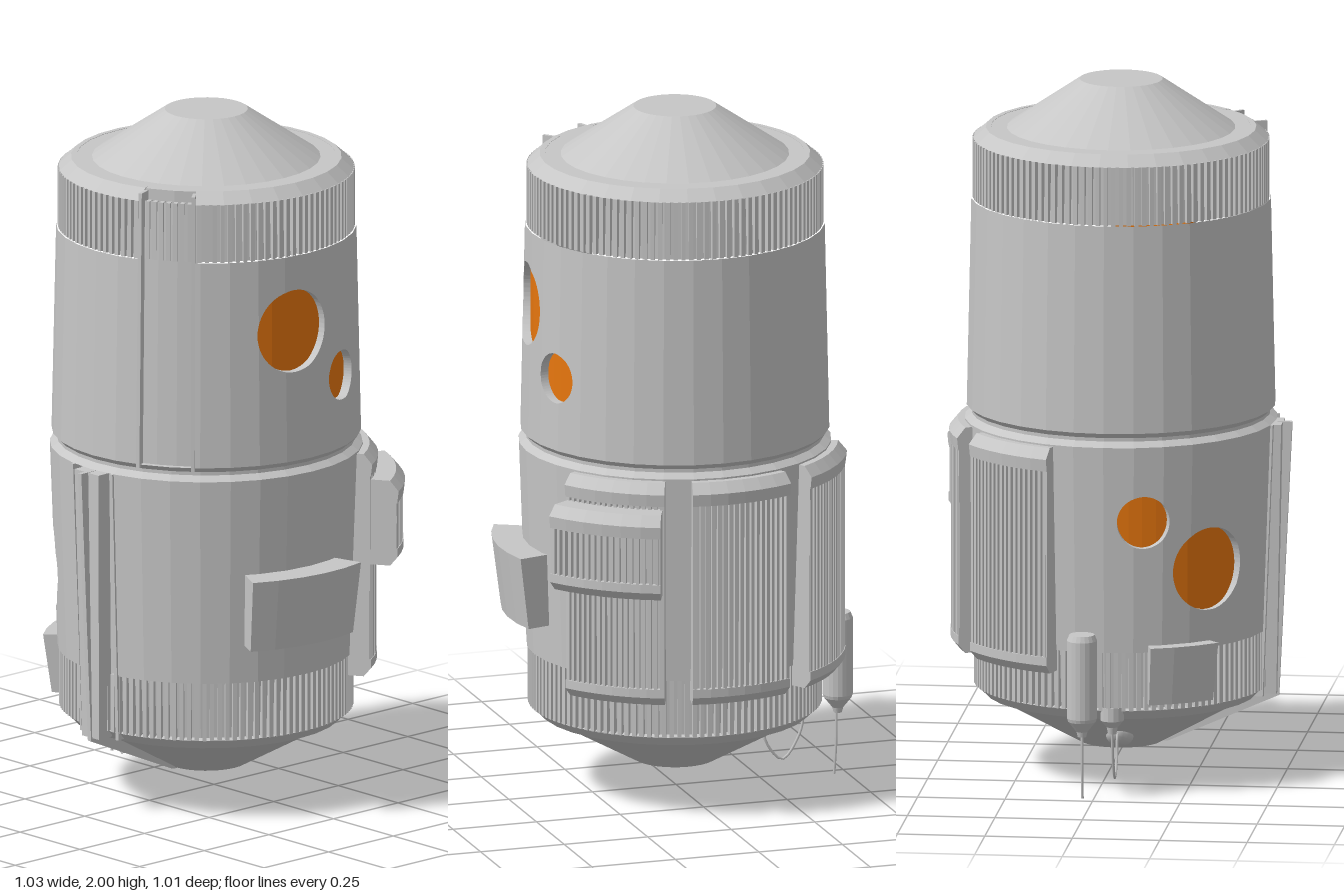
import * as THREE from 'three';
import { mergeGeometries } from 'three/addons/utils/BufferGeometryUtils.js';

const grey = new THREE.MeshStandardMaterial({ color: 0xc6c6c6 });
grey.name = 'hull grey';
const orange = new THREE.MeshStandardMaterial({ color: 0xea780f });
orange.name = 'window orange';

const SIDES = 32, STEP = (Math.PI * 2) / SIDES;
const rad = THREE.MathUtils.degToRad, lerp = THREE.MathUtils.lerp;

export function createModel() {
  const model = new THREE.Group();
  model.name = 'capsule';
  // angles run from the front (+z) towards the model's left (+x)
  model.position.set(-0.005, 0, 0.025);

  function add(name, geometry, material = grey) {
    const mesh = new THREE.Mesh(geometry, material);
    mesh.name = name;
    model.add(mesh);
    return mesh;
  }
  function flat(geometry) {
    const g = geometry.index ? geometry.toNonIndexed() : geometry;
    g.computeVertexNormals();
    return g;
  }
  const vectors = (pts) => pts.map(([x, y]) => new THREE.Vector2(x, y));
  const lathe = (pts, sides = SIDES) => flat(new THREE.LatheGeometry(vectors(pts), sides));

  // sweeps a closed [radius, y] profile around the axis between two angles
  function sweep(from, to, profile, steps = 8) {
    const a0 = rad(from), a1 = rad(to);
    const g = new THREE.ExtrudeGeometry(new THREE.Shape(vectors(profile)),
      { depth: a1 - a0, steps, bevelEnabled: false });
    const p = g.attributes.position;
    for (let i = 0; i < p.count; i++) {
      const r = p.getX(i), a = a1 - p.getZ(i);
      p.setXYZ(i, r * Math.sin(a), p.getY(i), r * Math.cos(a));
    }
    return flat(g);
  }

  // faceted wall with round holes {a, y, r} and full-height slots {a, w}
  function wall(y0, y1, r0, r1, holes, depth = 0.025) {
    const R = (r0 + r1) / 2, out = [];
    const cuts = [];
    for (let i = 0; i <= SIDES; i++) cuts.push(-Math.PI + i * STEP);
    for (const h of holes) {
      h.w ??= h.r / R;
      for (let i = 0; i <= 28; i++) cuts.push(h.a - h.w * Math.cos((Math.PI * i) / 28));
    }
    cuts.sort((a, b) => a - b);
    const point = (a, y, inset = 0) => {
      const off = (((a % STEP) + STEP) % STEP) - STEP / 2;
      const r = lerp(r0, r1, (y - y0) / (y1 - y0)) * Math.cos(STEP / 2) / Math.cos(off) - inset;
      return [r * Math.sin(a), y, r * Math.cos(a)];
    };
    const quad = (a, b, c, d) => out.push(...a, ...b, ...c, ...a, ...c, ...d);
    const span = (h, a) => {
      if (!h.r) return [y0, y1];
      const t = Math.sqrt(Math.max(0, h.r ** 2 - ((a - h.a) * R) ** 2));
      return [h.y - t, h.y + t];
    };
    for (let i = 0; i < cuts.length - 1; i++) {
      const a = cuts[i], b = cuts[i + 1];
      if (b - a < 1e-6) continue;
      const h = holes.find((o) => Math.abs((a + b) / 2 - o.a) < o.w);
      if (!h) {
        quad(point(a, y0), point(b, y0), point(b, y1), point(a, y1));
      } else if (h.r) {
        const [la, ha] = span(h, a), [lb, hb] = span(h, b);
        quad(point(a, y0), point(b, y0), point(b, lb), point(a, la));
        quad(point(a, ha), point(b, hb), point(b, y1), point(a, y1));
        quad(point(a, la), point(b, lb), point(b, lb, depth), point(a, la, depth));
        quad(point(a, ha, depth), point(b, hb, depth), point(b, hb), point(a, ha));
      }
    }
    for (const h of holes.filter((o) => !o.r)) {
      const l = h.a - h.w, r = h.a + h.w;
      quad(point(l, y0), point(l, y0, depth), point(l, y1, depth), point(l, y1));
      quad(point(r, y0, depth), point(r, y0), point(r, y1), point(r, y1, depth));
    }
    const g = new THREE.BufferGeometry();
    g.setAttribute('position', new THREE.Float32BufferAttribute(out, 3));
    g.computeVertexNormals();
    return g;
  }

  // row of upright ribs between two angles
  function ribs(from, to, count, y0, y1, radius, width) {
    const list = [];
    for (let i = 0; i < count; i++) {
      const a = rad(lerp(from, to, (i + 0.5) / count));
      const g = new THREE.BoxGeometry(width, y1 - y0, 0.02);
      g.translate(0, (y0 + y1) / 2, radius - 0.01);
      list.push(g.rotateY(a));
    }
    return mergeGeometries(list);
  }

  // hull ends and middle seam
  add('lowerCone', lathe([[0, 0.08], [0.118, 0.08], [0.36, 0.215], [0.385, 0.22], [0.415, 0.25], [0.4, 0.255]]));
  add('middleSeam', lathe([[0.41, 1.02], [0.445, 1.02], [0.425, 1.035], [0.425, 1.045], [0.44, 1.06], [0.41, 1.06]]));
  add('upperCone', lathe([[0.385, 1.66], [0.385, 1.86], [0.325, 1.86], [0.118, 2], [0, 2]]));
  add('upperRim', sweep(43, 380.5, [[0.37, 1.825], [0.42, 1.83], [0.385, 1.861], [0.37, 1.861]], 30));

  // hull walls with portholes and channels
  const upperHoles = [{ a: rad(82.8), y: 1.44, r: 0.12 }, { a: rad(110), y: 1.27, r: 0.072 }];
  const lowerHoles = [{ a: rad(-47.5), y: 0.65, r: 0.12 }, { a: rad(-75), y: 0.8, r: 0.076 }];
  add('upperWall', wall(1.06, 1.66, 0.44, 0.427, [...upperHoles, { a: rad(31.75), w: rad(11.25) }]));
  add('lowerWall', wall(0.42, 1.02, 0.423, 0.445, [...lowerHoles, { a: 0, w: rad(11) }]));
  add('upperChannelFloor', sweep(20, 43.5, [[0.38, 1.05], [0.422, 1.05], [0.41, 1.66], [0.38, 1.66]], 3));
  add('lowerChannelFloor', sweep(-11.5, 11.5, [[0.38, 0.25], [0.402, 0.25], [0.425, 1.02], [0.38, 1.02]], 3));
  for (const h of [...upperHoles, ...lowerHoles]) {
    const a = THREE.MathUtils.radToDeg(h.a), w = THREE.MathUtils.radToDeg(h.w) + 1;
    const [lo, hi] = [h.y - h.r - 0.01, h.y + h.r + 0.01];
    add('windowPane', sweep(a - w, a + w, [[0.37, lo], [0.41, lo], [0.41, hi], [0.37, hi]], 4), orange);
  }

  // ribbed vent bands
  add('upperVentCore', lathe([[0.412, 1.66], [0.406, 1.83]]));
  add('lowerVentCore', lathe([[0.4, 0.25], [0.408, 0.42]]));
  add('upperVentRibs', ribs(43, 380.5, 112, 1.66, 1.83, 0.422, 0.012));
  add('channelVentRibs', ribs(22, 42, 7, 1.66, 1.83, 0.412, 0.012));
  add('lowerVentRibs', ribs(0, 360, 120, 0.25, 0.42, 0.418, 0.012));

  // rails along the upper channel
  for (const a of [21.2, 42.3])
    add('channelRail', sweep(a - 0.7, a + 0.7, [[0.4, 1.05], [0.444, 1.05], [0.428, 1.855], [0.38, 1.855]], 1));

  // front spine: side rails, wide bar and thin fin running under the hull
  for (const a of [-10.3, 10.3])
    add('spineRail', sweep(a - 0.7, a + 0.7, [[0.38, 0.23], [0.422, 0.23], [0.452, 1.02], [0.4, 1.02]], 1));
  const bar = new THREE.Shape(vectors([[-0.035, 0.23], [0.035, 0.23], [0.05, 1.015], [-0.05, 1.015]]));
  const barMesh = add('spineBar', flat(new THREE.ExtrudeGeometry(bar, { depth: 0.05, bevelEnabled: false })));
  barMesh.position.set(0, 0, 0.393);
  barMesh.rotation.x = 0.02;
  const fin = new THREE.Shape(vectors([[0.12, 0.08], [0.135, 0.08], [0.452, 0.22], [0.49, 1.015], [0.42, 1.015], [0.4, 0.26]]));
  const finGeo = new THREE.ExtrudeGeometry(fin, { depth: 0.014, bevelEnabled: false });
  add('spineFin', flat(finGeo.rotateY(-Math.PI / 2).translate(0.007, 0, 0)));

  // three ribbed radiator panels around the back
  function radiator(name, mid, half, y0, y1, r, base) {
    const a0 = mid - half, a1 = mid + half;
    add(name + 'Base', sweep(a0, a1, [[base, y0 + 0.01], [r - 0.02, y0 + 0.01], [r - 0.018, y1 - 0.01], [base, y1 - 0.01]], 6));
    add(name + 'TopCap', sweep(a0, a1, [[base, y1 - 0.065], [r - 0.004, y1 - 0.065], [r, y1 - 0.03], [r - 0.025, y1], [base, y1]], 6));
    add(name + 'BottomCap', sweep(a0, a1, [[base, y0], [r - 0.025, y0], [r - 0.004, y0 + 0.025], [r - 0.004, y0 + 0.05], [base, y0 + 0.05]], 6));
    add(name + 'Ribs', ribs(a0, a1, 18, y0 + 0.05, y1 - 0.06, r - 0.006, 0.009));
    for (const a of [a0 + 0.6, a1 - 0.6])
      add(name + 'Side', sweep(a - 0.6, a + 0.6, [[base, y0 + 0.01], [r - 0.008, y0 + 0.03], [r - 0.006, y1 - 0.03], [base, y1 - 0.01]], 1));
  }
  for (const a of [140, 186, 232.5]) radiator('radiator', a, 18.2, 0.36, 1.015, 0.489, 0.41);
  radiator('outerRadiator', 140, 17.5, 0.69, 0.94, 0.565, 0.46);

  // curved boxes on the sides
  add('sideBox', sweep(62, 104.6, [[0.41, 0.53], [0.495, 0.53], [0.522, 0.74], [0.41, 0.74]], 5));
  add('smallBox', sweep(-73, -47, [[0.4, 0.27], [0.44, 0.27], [0.465, 0.44], [0.4, 0.44]], 3));

  // tank with its needle
  const tank = add('tank', new THREE.LatheGeometry(vectors([[0, 0.185], [0.012, 0.185], [0.016, 0.2],
    [0.04, 0.23], [0.043, 0.24], [0.043, 0.465], [0.036, 0.482], [0, 0.482]]), 20));
  tank.geometry = flat(tank.geometry);
  tank.position.set(-0.468, 0, -0.058);
  const tube = (pts, r) => new THREE.TubeGeometry(
    new THREE.CatmullRomCurve3(pts.map((p) => new THREE.Vector3(...p))), 20, r, 6);
  add('tankNeedle', tube([[-0.464, 0.2, -0.058], [-0.463, 0.1, -0.058], [-0.457, 0.004, -0.058]], 0.004));

  // hanging hose between a nozzle and a bulb under the hull
  const nozzle = add('hoseNozzle', lathe([[0, 0.18], [0.012, 0.18], [0.016, 0.2], [0.034, 0.22], [0.034, 0.26]], 14));
  nozzle.position.set(-0.395, 0, 0.02);
  add('hose', tube([[-0.395, 0.19, 0.02], [-0.38, 0.11, 0.02], [-0.328, 0.038, 0.02],
    [-0.28, 0.09, 0.02], [-0.265, 0.15, 0.02], [-0.235, 0.145, 0.02]], 0.004));
  const bulb = add('hoseBulb', new THREE.SphereGeometry(0.04, 14, 10));
  bulb.scale.set(1.3, 0.8, 1);
  bulb.rotation.z = -0.5;
  bulb.position.set(-0.21, 0.138, 0.02);

  const group = new THREE.Group();
  group.add(model);
  return group;
}
